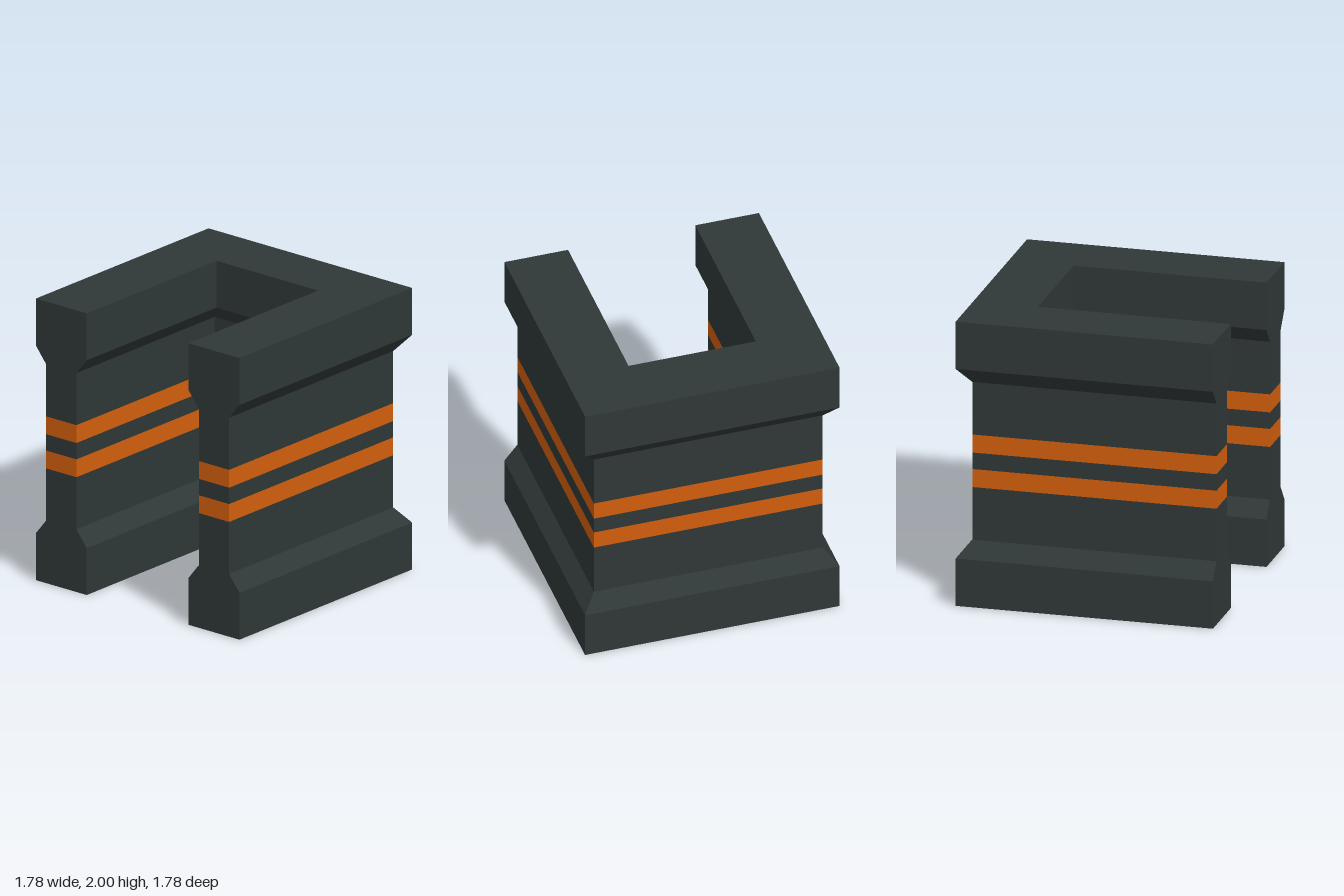
import * as THREE from 'three';

const OUTER = 0.89, INNER = 0.445, INSET = 0.09;

// U-shaped outline, open towards -x, with its walls thinned by d on each side
function outline(d) {
  const o = OUTER - d, i = INNER + d, h = OUTER;
  return [[-h, -o], [o, -o], [o, o], [-h, o], [-h, i], [i, i], [i, -i], [-h, -i]];
}

// Wall ring between two heights, each with its own inset
function ring(y0, d0, y1, d1) {
  const low = outline(d0), high = outline(d1), pos = [];
  for (let k = 0; k < low.length; k++) {
    const n = (k + 1) % low.length;
    const a = [low[k][0], y0, -low[k][1]], b = [low[n][0], y0, -low[n][1]];
    const c = [high[n][0], y1, -high[n][1]], e = [high[k][0], y1, -high[k][1]];
    pos.push(...a, ...b, ...c, ...a, ...c, ...e);
  }
  const g = new THREE.BufferGeometry();
  g.setAttribute('position', new THREE.Float32BufferAttribute(pos, 3));
  g.computeVertexNormals();
  return g;
}

// Flat U-shaped face closing the top or bottom
function cap(y, up) {
  const shape = new THREE.Shape(outline(0).map(([x, s]) => new THREE.Vector2(x, s)));
  return new THREE.ShapeGeometry(shape).rotateX(up ? -Math.PI / 2 : Math.PI / 2).translate(0, y, 0);
}

export function createModel() {
  const group = new THREE.Group();
  group.name = 'uShapedPillar';
  const body = new THREE.MeshStandardMaterial({ color: 0x2f3837 });
  body.name = 'darkSlate';
  const stripe = new THREE.MeshStandardMaterial({ color: 0xd35f0d });
  stripe.name = 'orange';

  const add = (name, geometry, material) => {
    const mesh = new THREE.Mesh(geometry, material);
    mesh.name = name;
    group.add(mesh);
  };

  // Stacked bands: name, bottom y, bottom inset, top y, top inset, material
  const bands = [
    ['basePlinth', 0, 0, 0.333, 0, body],
    ['baseChamfer', 0.333, 0, 0.445, INSET, body],
    ['lowerWall', 0.445, INSET, 0.815, INSET, body],
    ['lowerStripe', 0.815, INSET, 0.942, INSET, stripe],
    ['middleWall', 0.942, INSET, 1.058, INSET, body],
    ['upperStripe', 1.058, INSET, 1.185, INSET, stripe],
    ['upperWall', 1.185, INSET, 1.555, INSET, body],
    ['topChamfer', 1.555, INSET, 1.667, 0, body],
    ['topBlock', 1.667, 0, 2, 0, body],
  ];
  for (const [name, y0, d0, y1, d1, material] of bands) add(name, ring(y0, d0, y1, d1), material);

  add('topFace', cap(2, true), body);
  add('bottomFace', cap(0, false), body);
  return group;
}
